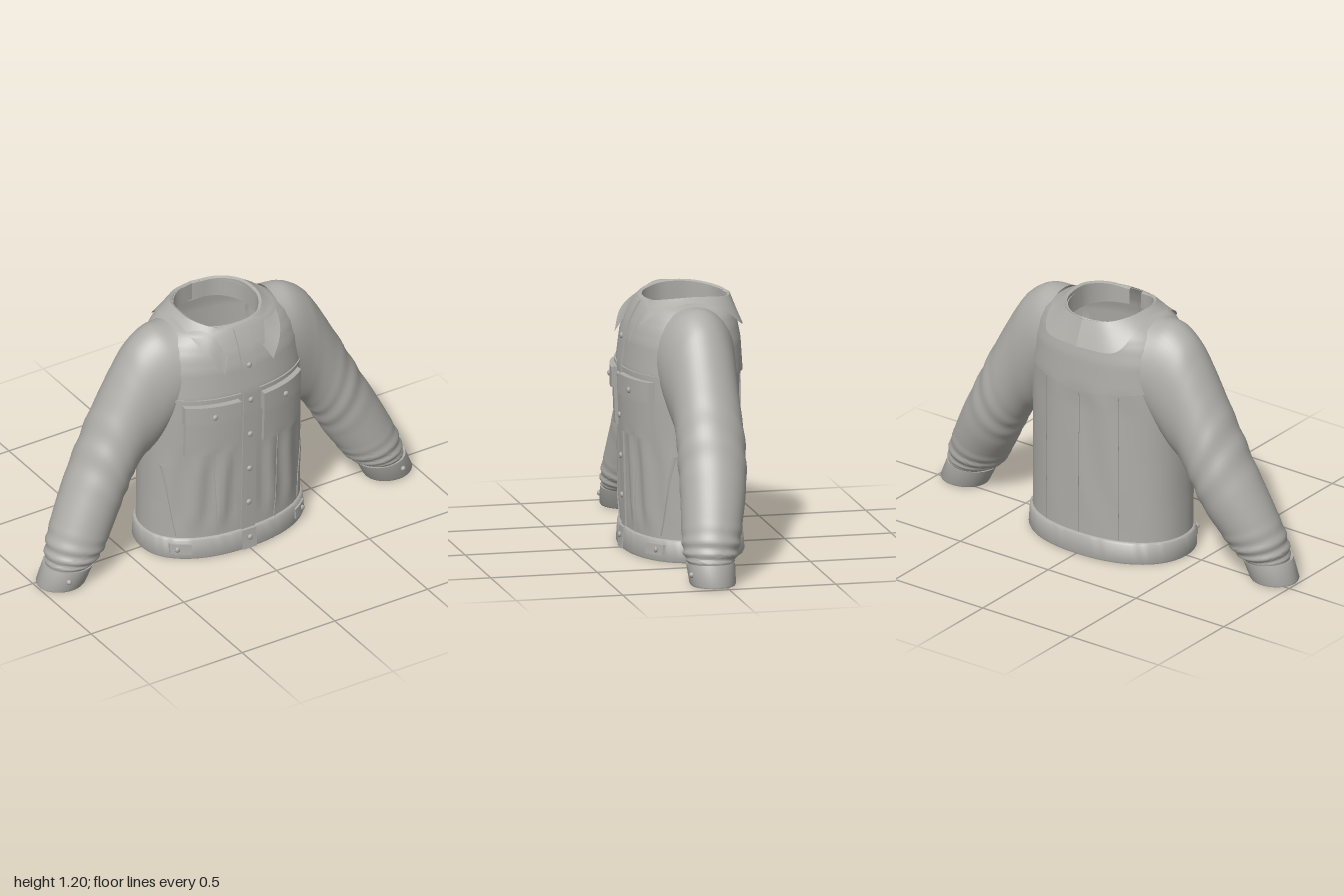
import * as THREE from 'three';
import { toCreasedNormals } from 'three/addons/utils/BufferGeometryUtils.js';

const cloth = new THREE.MeshStandardMaterial({ color: 0xaeada8, side: THREE.DoubleSide });
cloth.name = 'grey cloth';

// torso sections: height, half width, front depth, back depth
const TORSO = [
  [0.01, 0.42, 0.27, 0.29], [0.11, 0.415, 0.262, 0.282], [0.113, 0.403, 0.25, 0.268],
  [0.3, 0.4, 0.255, 0.268], [0.55, 0.4, 0.262, 0.268], [0.75, 0.403, 0.27, 0.268],
  [0.87, 0.4, 0.272, 0.272], [1.0, 0.385, 0.256, 0.27], [1.07, 0.36, 0.236, 0.26],
  [1.12, 0.325, 0.212, 0.248], [1.155, 0.28, 0.192, 0.236], [1.175, 0.23, 0.178, 0.226],
  [1.18, 0.19, 0.165, 0.22],
];
const smooth = THREE.MathUtils.smoothstep;

function section(y) {
  let i = 0;
  while (i < TORSO.length - 2 && y > TORSO[i + 1][0]) i++;
  const p = TORSO[i], q = TORSO[i + 1];
  const t = THREE.MathUtils.clamp((y - p[0]) / (q[0] - p[0]), 0, 1);
  return p.map((v, k) => v + (q[k] - v) * t);
}

// depth of the torso surface at x, y with soft folds; side is 1 for front, -1 for back
function surfaceZ(x, y, side) {
  const [, a, f, b] = section(y);
  const r = Math.min(1, Math.abs(x) / a);
  const z = (side > 0 ? f : b) * Math.pow(1 - Math.pow(r, 2.2), 1 / 2.2);
  const zone = smooth(y, 0.115, 0.25) * (1 - smooth(y, 0.45, 0.62)) * smooth(Math.abs(x), 0.04, 0.09);
  const back = smooth(y, 0.15, 0.4) * (1 - smooth(y, 0.75, 0.9));
  const fold = side > 0 ? 0.035 * zone * Math.sin(Math.abs(x) * 52 + y * 3)
    : 0.015 * back * Math.sin(Math.abs(x) * 30 + y * 5);
  return side * z * (1 + fold);
}

// grid of points joined into a surface
function grid(nu, nv, fn, crease = 0.7) {
  const pos = [], idx = [];
  for (let j = 0; j <= nv; j++) for (let i = 0; i <= nu; i++) pos.push(...fn(i, j));
  for (let j = 0; j < nv; j++) for (let i = 0; i < nu; i++) {
    const a = j * (nu + 1) + i, b = a + nu + 1;
    idx.push(a, a + 1, b, a + 1, b + 1, b);
  }
  const g = new THREE.BufferGeometry();
  g.setAttribute('position', new THREE.Float32BufferAttribute(pos, 3));
  g.setIndex(idx);
  return toCreasedNormals(g, crease);
}

// point on the torso outline, counted so that the ring runs clockwise from above
function torsoPoint(i, n, y, inset = 0) {
  const t = -(i / n) * Math.PI * 2, a = section(y)[1];
  const c = i === n ? 1 : Math.cos(t), x = a * c;
  const z = Math.abs(Math.sin(t)) < 1e-6 ? 0 : surfaceZ(x, y, Math.sign(Math.sin(t)));
  return [x * (1 - inset), y, z * (1 - inset * 1.4)];
}

export function createModel() {
  const root = new THREE.Group();
  root.name = 'jacket';
  const add = (name, geo, parent = root) => {
    const m = new THREE.Mesh(geo, cloth);
    m.name = name;
    parent.add(m);
    return m;
  };

  // raised panel lying on the torso between four corner values
  function panel(name, x0, x1, y0, y1, lift, { side = 1, slant = 0, nu = 10, nv = 12, taper = 0, dip = 0 } = {}) {
    add(name, grid(nu + 2, nv + 2, (i, j) => {
      const u = THREE.MathUtils.clamp((i - 1) / nu, 0, 1), v = THREE.MathUtils.clamp((j - 1) / nv, 0, 1);
      const rim = i === 0 || j === 0 || i === nu + 2 || j === nv + 2;
      const x = x0 + (x1 - x0) * u + slant * v;
      const y = y0 + (y1 - y0) * v - dip * (1 - v) * (1 - Math.abs(2 * u - 1));
      return [x, y, surfaceZ(x, y, side) + side * (rim ? -0.004 : lift * (1 - taper * v))];
    }));
  }
  function button(name, x, y, lift, r = 0.014) {
    const b = add(name, new THREE.SphereGeometry(r, 14, 8));
    b.scale.z = 0.6;
    b.position.set(x, y, surfaceZ(x, y, 1) + lift);
  }

  // torso shell
  const rows = [];
  for (let k = 2; k < TORSO.length - 1; k++) {
    const n = k < 7 ? 8 : 3;
    for (let s = 0; s < n; s++) rows.push(TORSO[k][0] + (TORSO[k + 1][0] - TORSO[k][0]) * s / n);
  }
  rows.push(1.18);
  add('torso', grid(112, rows.length - 1, (i, j) => torsoPoint(i, 112, rows[j]), 0.9));

  // hem band with an inner face
  const hem = [[0.112, 0.06], [0.02, 0.06], [0.01, 0.045], [0.01, 0.01], [0.018, 0], [0.105, 0], [0.11, 0.01], [0.113, 0.02]];
  add('hemBand', grid(80, hem.length - 1, (i, j) => torsoPoint(i, 80, hem[j][0], hem[j][1])));

  // button placket
  panel('placket', -0.037, 0.037, 0.113, 1.165, 0.008, { nu: 4, nv: 50 });
  panel('hemPlacket', -0.037, 0.037, 0.012, 0.11, 0.006, { nu: 4, nv: 3 });
  for (const y of [0.07, 0.255, 0.44, 0.63, 0.82, 1.0]) button('frontButton', 0, y, 0.01);

  // pockets, seams and hem tabs on both sides
  for (const s of [-1, 1]) {
    panel('chestPocket', s * 0.07, s * 0.305, 0.57, 0.83, 0.018);
    panel('pocketFlap', s * 0.062, s * 0.312, 0.745, 0.84, 0.03, { dip: 0.012 });
    panel('yokeSeam', s * 0.05, s * 0.34, 0.855, 0.868, 0.008, { nv: 2 });
    panel('sidePocketWelt', s * 0.315, s * 0.33, 0.125, 0.5, 0.007, { slant: s * 0.05, nu: 2 });
    panel('frontSeam', s * 0.148, s * 0.155, 0.115, 0.57, 0.006, { slant: s * 0.02, nu: 2, nv: 20 });
    panel('hemTab', s * 0.28, s * 0.36, 0.04, 0.09, 0.012, { nu: 5, nv: 3 });
    panel('backSeam', s * 0.2, s * 0.207, 0.115, 0.84, 0.004, { side: -1, nu: 2, nv: 24 });
    button('pocketButton', s * 0.19, 0.785, 0.033);
    button('hemButton', s * 0.335, 0.065, 0.014);
  }
  panel('backYoke', -0.35, 0.35, 0.87, 1.06, 0.009, { side: -1, nu: 30, taper: 1, dip: 0.04 });
  panel('centreBackSeam', -0.004, 0.004, 0.115, 0.84, 0.004, { side: -1, nu: 2, nv: 24 });

  // collar: fold line and lower edge from front to back
  const fold = new THREE.CatmullRomCurve3([
    [0.035, 1.17, 0.18], [0.13, 1.185, 0.145], [0.19, 1.2, 0.06], [0.2, 1.205, -0.02],
    [0.185, 1.2, -0.12], [0.12, 1.187, -0.205], [0, 1.18, -0.24]].map(p => new THREE.Vector3(...p)));
  const edge = new THREE.CatmullRomCurve3([
    [0.13, 0.99, 0.268], [0.19, 1.08, 0.228], [0.225, 1.14, 0.15], [0.235, 1.183, 0.0],
    [0.24, 1.15, -0.15], [0.195, 1.07, -0.25], [0, 1.06, -0.288]].map(p => new THREE.Vector3(...p)));
  for (const s of [-1, 1]) {
    add(s > 0 ? 'leftCollar' : 'rightCollar', grid(36, 7, (i, j) => {
      const a = fold.getPoint(i / 36), b = edge.getPoint(i / 36);
      let p;
      if (j < 2) p = new THREE.Vector3(a.x * 0.94, j ? a.y - 0.006 : 1.09, -0.03 + (a.z + 0.03) * 0.93);
      else p = a.clone().lerp(b, (j - 2) / 5);
      return [s * p.x, p.y, p.z];
    }, 0.8));
  }

  // sleeves: inner x, inner y, outer x, outer y, front z, back z
  const SLEEVE = [
    [0.27, 0.72, 0.27, 1.175, 0.18, -0.2], [0.34, 0.62, 0.36, 1.172, 0.168, -0.187],
    [0.4, 0.545, 0.45, 1.115, 0.152, -0.176], [0.44, 0.515, 0.515, 1.025, 0.143, -0.17],
    [0.47, 0.48, 0.58, 0.91, 0.14, -0.17], [0.505, 0.425, 0.66, 0.76, 0.143, -0.172],
    [0.545, 0.35, 0.74, 0.6, 0.148, -0.165], [0.585, 0.275, 0.82, 0.45, 0.155, -0.145],
    [0.62, 0.22, 0.885, 0.315, 0.163, -0.12], [0.655, 0.165, 0.925, 0.22, 0.168, -0.1],
    [0.695, 0.125, 0.942, 0.15, 0.165, -0.08], [0.735, 0.1, 0.945, 0.105, 0.15, -0.055]];
  const CUFF = [
    [0.735, 0.098, 0.95, 0.112, 0.15, -0.05], [0.722, 0.1, 0.96, 0.115, 0.162, -0.062],
    [0.762, 0.02, 0.997, 0.022, 0.155, -0.057], [0.768, 0.012, 0.995, 0.014, 0.15, -0.053],
    [0.783, 0.012, 0.98, 0.014, 0.135, -0.038], [0.76, 0.09, 0.94, 0.1, 0.135, -0.035]];
  const ringPoint = (r, t, s, k) => {
    const c = Math.cos(t) * k, d = Math.sin(t) * k;
    return [s * ((r[0] + r[2]) / 2 + (r[2] - r[0]) / 2 * c), (r[1] + r[3]) / 2 + (r[3] - r[1]) / 2 * c,
      (r[4] + r[5]) / 2 + (r[4] - r[5]) / 2 * d];
  };
  const lower = new THREE.CatmullRomCurve3(SLEEVE.map(r => new THREE.Vector3(r[0], r[1], r[4])));
  const upper = new THREE.CatmullRomCurve3(SLEEVE.map(r => new THREE.Vector3(r[2], r[3], r[5])));
  for (const s of [-1, 1]) {
    const arm = new THREE.Group();
    arm.name = s > 0 ? 'leftSleeve' : 'rightSleeve';
    root.add(arm);
    add('sleeve', grid(48, 77, (i, j) => {
      const v = j / 77, t = i / 48 * Math.PI * 2;
      const a = lower.getPoint(v), b = upper.getPoint(v);
      // folds gather at the elbow and above the cuff
      const elbow = Math.exp(-Math.pow((v - 0.5) / 0.08, 2)), wrist = smooth(v, 0.7, 0.88) * (1 - smooth(v, 0.96, 1));
      const k = 1 + 0.022 * elbow * Math.sin(v * 75 + 2 * Math.sin(t)) + 0.035 * wrist * Math.sin(v * 85 + 1.6 * Math.sin(t + 0.6));
      return ringPoint([a.x, a.y, b.x, b.y, a.z, b.z], t, s, k);
    }, 1));
    add('cuff', grid(40, CUFF.length - 1, (i, j) => ringPoint(CUFF[j], i / 40 * Math.PI * 2, s, 1)), arm);
    const b = add('cuffButton', new THREE.SphereGeometry(0.013, 12, 8), arm);
    b.position.set(s * 0.9, 0.065, 0.152);
    arm.add(root.children.find(c => c.name === 'sleeve'));
  }
  return root;
}
